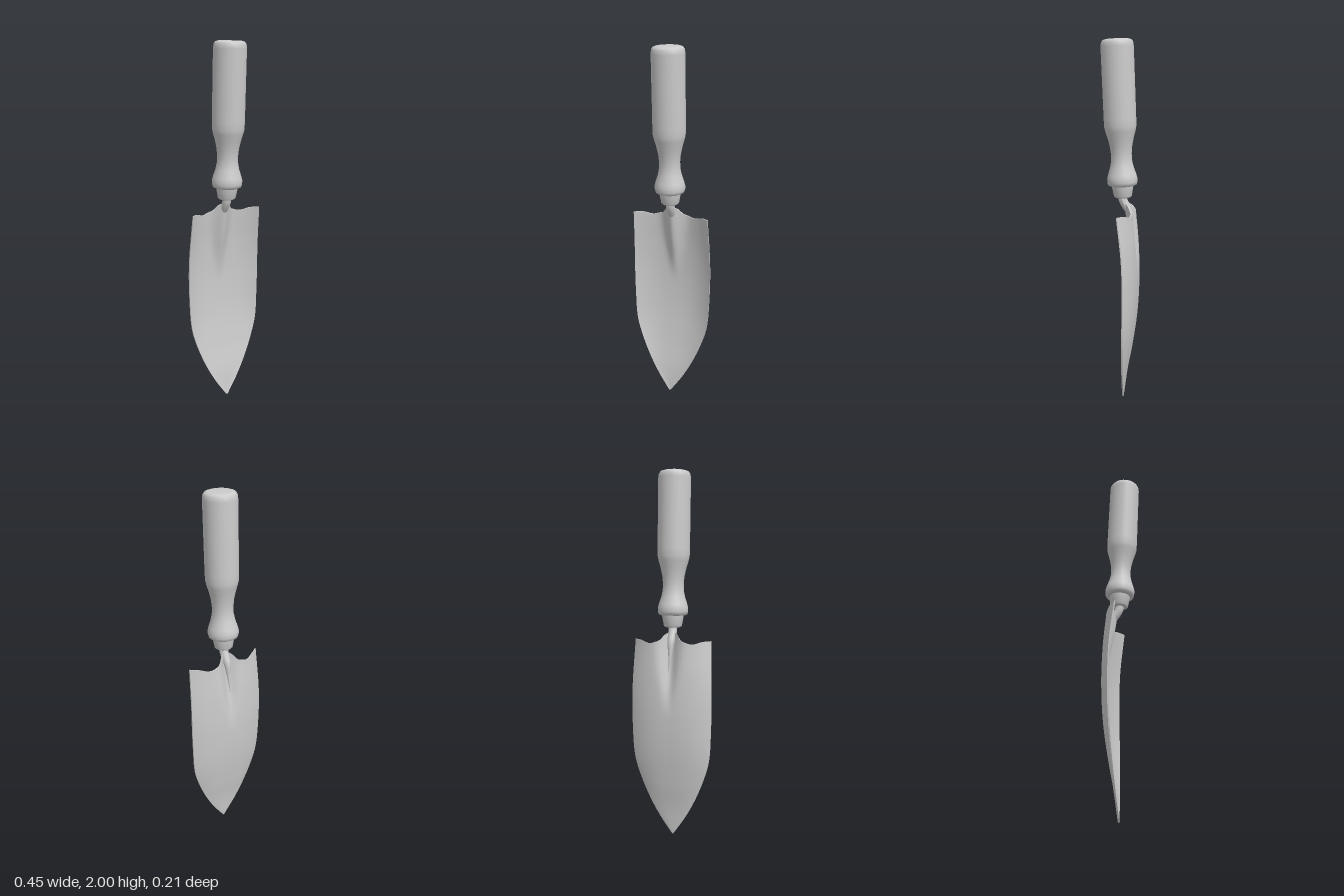
import * as THREE from 'three';
import { ParametricGeometry } from 'three/addons/geometries/ParametricGeometry.js';

const material = new THREE.MeshStandardMaterial({ color: 0xcccccc, side: THREE.DoubleSide });

// Smooth interpolation through [y, value] pairs
function track(pairs) {
  return (y) => {
    let i = 0;
    while (i < pairs.length - 2 && y > pairs[i + 1][0]) i++;
    const [y0, a] = pairs[i], [y1, b] = pairs[i + 1];
    const slope = (j) => {
      const p = pairs[Math.max(j - 1, 0)], q = pairs[Math.min(j + 1, pairs.length - 1)];
      return (q[1] - p[1]) / (q[0] - p[0]);
    };
    const h = y1 - y0, t = THREE.MathUtils.clamp((y - y0) / h, 0, 1), t2 = t * t, t3 = t2 * t;
    return (2 * t3 - 3 * t2 + 1) * a + (t3 - 2 * t2 + t) * h * slope(i)
      + (3 * t2 - 2 * t3) * b + (t3 - t2) * h * slope(i + 1);
  };
}

// Blade outline, side-edge position and depth of the trough along its height
const halfWidth = track([[0, 0.004], [0.1, 0.072], [0.2, 0.127], [0.32, 0.178], [0.44, 0.213],
  [0.6, 0.224], [0.8, 0.226], [1.1, 0.215]]);
const edgeZ = track([[0, -0.014], [0.2, -0.026], [0.4, -0.036], [0.6, -0.042], [0.85, -0.038], [1.1, -0.011]]);
const troughZ = track([[0, -0.015], [0.15, -0.033], [0.3, -0.06], [0.5, -0.087], [0.7, -0.097],
  [0.9, -0.092], [1.1, -0.078]]);
const thickness = 0.007;

// Point on the blade: s runs -1..1 across, v runs 0..1 from tip to top edge
function bladePoint(s, v, back, target) {
  const y = 1.1 * v;
  const x = s * halfWidth(y), ax = Math.abs(x);
  let z = edgeZ(y) + (troughZ(y) - edgeZ(y)) * (1 - Math.abs(s) ** 2.6);
  // raised socket ridge that fades out down the middle
  const fade = THREE.MathUtils.smoothstep(y, 0.68, 1.12);
  z += 0.055 * fade * Math.exp(-((x / (0.025 + 0.025 * fade)) ** 2));
  // scooped shoulders and raised neck of the top edge
  const shoulder = -0.016 * Math.exp(-(((ax - 0.12) / 0.04) ** 2)) + 0.042 * Math.exp(-((x / 0.048) ** 4));
  const lift = THREE.MathUtils.smoothstep(y, 0.9, 1.1) * shoulder;
  target.set(x, y + lift, z - (back ? thickness : 0));
}

function addMesh(group, name, geometry) {
  const mesh = new THREE.Mesh(geometry, material);
  mesh.name = name;
  group.add(mesh);
  return mesh;
}

export function createModel() {
  const model = new THREE.Group();
  model.name = 'gardenTrowel';

  // Blade: front and back sheets closed by thin rims
  const blade = new THREE.Group();
  blade.name = 'blade';
  model.add(blade);
  addMesh(blade, 'bladeFront', new ParametricGeometry((u, v, t) => bladePoint(2 * u - 1, v, false, t), 48, 44));
  addMesh(blade, 'bladeBack', new ParametricGeometry((u, v, t) => bladePoint(1 - 2 * u, v, true, t), 48, 44));
  for (const side of [-1, 1]) {
    addMesh(blade, side > 0 ? 'leftRim' : 'rightRim', new ParametricGeometry(
      (u, v, t) => bladePoint(side, v, side > 0 ? u > 0.5 : u <= 0.5, t), 1, 44));
  }
  addMesh(blade, 'topRim', new ParametricGeometry((u, v, t) => bladePoint(2 * u - 1, 1, v > 0.5, t), 48, 1));
  // plain normals from the faces keep the rims evenly shaded
  for (const mesh of blade.children) if (mesh.name.endsWith('Rim')) mesh.geometry.computeVertexNormals();

  // Bent tang joining the blade to the ferrule
  const bend = new THREE.CatmullRomCurve3([[1.2, -0.014], [1.16, -0.016], [1.125, -0.032], [1.09, -0.052],
    [1.02, -0.066], [0.93, -0.082]].map(([y, z]) => new THREE.Vector3(0, y, z)));
  const tang = new THREE.TubeGeometry(bend, 24, 0.024, 12);
  const p = tang.attributes.position, c = new THREE.Vector3(), q = new THREE.Vector3();
  for (let i = 0; i < p.count; i++) {
    const t = Math.floor(i / 13) / 24;
    bend.getPointAt(t, c);
    q.fromBufferAttribute(p, i).sub(c).multiplyScalar(1 - 0.85 * THREE.MathUtils.smoothstep(t, 0.15, 1)).add(c);
    p.setXYZ(i, q.x, q.y, q.z);
  }
  tang.computeVertexNormals();
  addMesh(model, 'tang', tang);

  // Turned handle, leaning slightly forward
  const handle = new THREE.Group();
  handle.name = 'handle';
  handle.position.set(0, 1.17, -0.017);
  handle.rotation.x = 0.04;
  model.add(handle);
  const lathe = (points) => new THREE.LatheGeometry(points.map(([r, y]) => new THREE.Vector2(r, y)), 20);
  addMesh(handle, 'ferrule', lathe([[0, 0], [0.04, 0], [0.049, 0.008], [0.058, 0.058], [0.058, 0.075]]));
  addMesh(handle, 'grip', lathe([[0, 0.064], [0.066, 0.064], [0.078, 0.07], [0.082, 0.085], [0.082, 0.105],
    [0.077, 0.125], [0.064, 0.165], [0.057, 0.2], [0.056, 0.235], [0.06, 0.275], [0.07, 0.32], [0.081, 0.357],
    [0.086, 0.38], [0.087, 0.42], [0.087, 0.79], [0.084, 0.812], [0.076, 0.823], [0.06, 0.828], [0, 0.829]]));

  return model;
}
